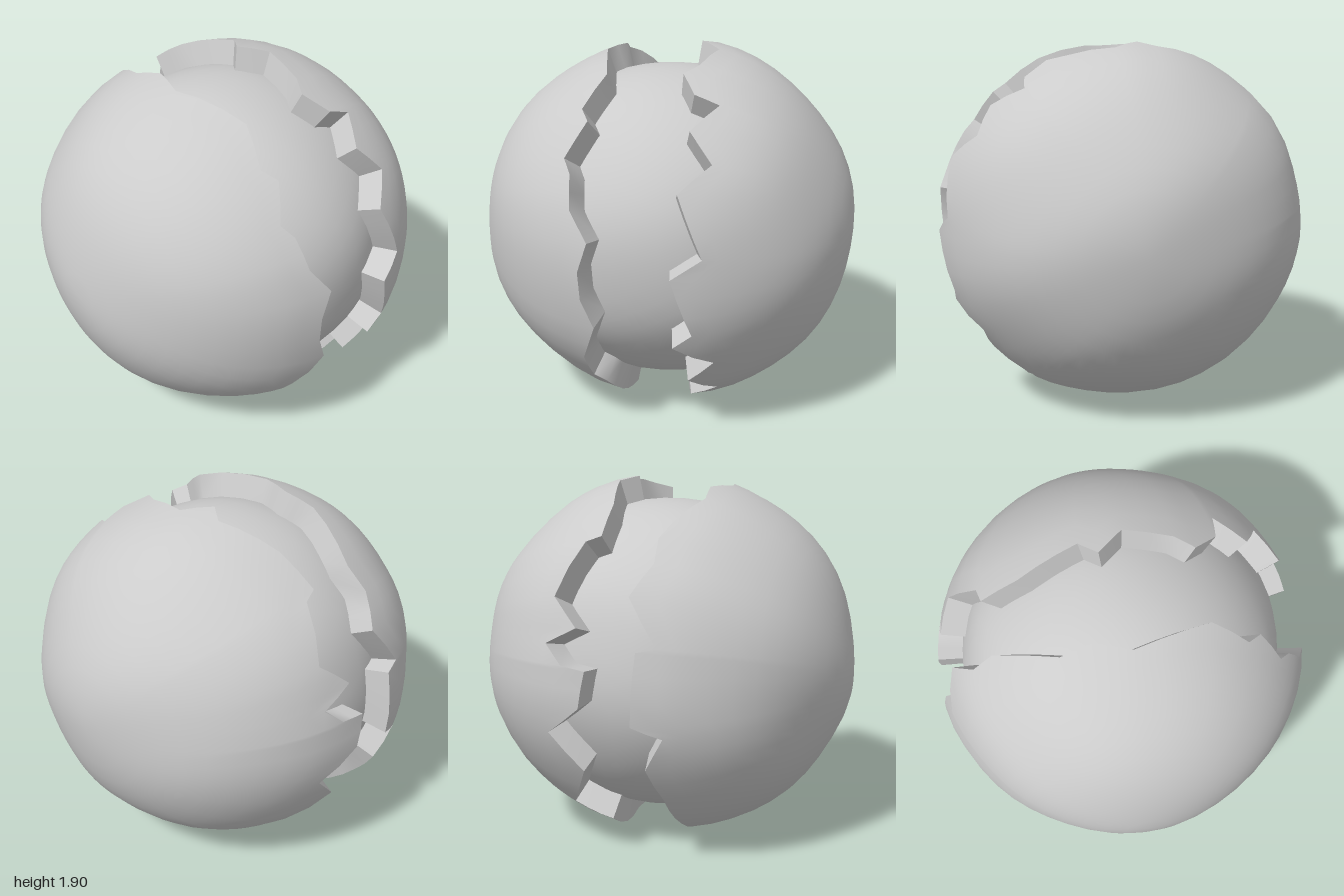
import * as THREE from 'three';
import { toCreasedNormals } from 'three/addons/utils/BufferGeometryUtils.js';

const CENTRE_Y = 0.955;
const RADII = new THREE.Vector3(1, 0.968, 0.995);
const CORE = 0.868;
const TURN = THREE.MathUtils.degToRad(20);

// Frame of the split: AXIS points across the crack, UP and FWD lie along it
const AXIS = new THREE.Vector3(Math.cos(TURN), 0, -Math.sin(TURN));
const UP = new THREE.Vector3(0, 1, 0);
const FWD = new THREE.Vector3(Math.sin(TURN), 0, Math.cos(TURN));

// Jagged edges: [angle in degrees from top over the front, offset across the crack]
const RIGHT_SHELL_EDGE = [
  [1, -0.33], [25, -0.23], [39, -0.307], [44, -0.26], [56, -0.346], [61, -0.303], [72, -0.28],
  [81, -0.186], [90, -0.236], [99, -0.23], [108, -0.17], [123, -0.257], [137, -0.256],
  [140, -0.197], [150, -0.148], [171, -0.15], [190, -0.22], [211, -0.246], [232, -0.25],
  [246, -0.21], [257, -0.31], [261, -0.17], [282.5, -0.19], [284, -0.283], [298, -0.127],
  [309, -0.205], [318, -0.187], [340, -0.3], [350, -0.272],
];
const LEFT_SHELL_EDGE = [
  [3, 0.26], [18, 0.21], [24, 0.15], [32.5, 0.228], [34.5, 0.35], [46, 0.24], [55.5, 0.357],
  [65.5, 0.22], [84, 0.346], [90, 0.205], [109, 0.294], [113.5, 0.2], [124, 0.377], [133, 0.24],
  [144, 0.355], [149, 0.216], [160, 0.177], [180, 0.2], [198, 0.14], [213, 0.116], [217, 0.32],
  [243, 0.115], [255, 0.28], [265, 0.086], [276, 0.053], [277, 0.184], [283, 0.28], [288, 0.116],
  [297, 0.257], [315, 0.17], [317, 0.097], [331, 0.12], [350, 0.218], [355.5, 0.15],
];

// Slightly lumpy ellipsoid surface along a unit direction
function surface(dir, scale) {
  const { x, y, z } = dir;
  const lump = 1 + 0.005 * (Math.sin(7 * x + 3 * y) * Math.sin(6 * z - 2 * x) + Math.sin(9 * y + 5 * z + 1) - 0.4);
  return dir.clone().multiply(RADII).multiplyScalar(scale * lump);
}

function direction(t, phi) {
  return new THREE.Vector3()
    .addScaledVector(AXIS, Math.cos(phi))
    .addScaledVector(UP, Math.sin(phi) * Math.cos(t))
    .addScaledVector(FWD, Math.sin(phi) * Math.sin(t));
}

// Split long edge segments so the rim follows the sphere
function refine(edge) {
  const out = [];
  edge.forEach(([t, s], i) => {
    const [t1, s1] = i + 1 < edge.length ? edge[i + 1] : [edge[0][0] + 360, edge[0][1]];
    const n = Math.ceil(Math.max((t1 - t) / 9, Math.abs(s1 - s) / 0.1));
    for (let k = 0; k < n; k++) out.push([t + (t1 - t) * k / n, s + (s1 - s) * k / n]);
  });
  return out;
}

// Half shell: a rim wall rising from the core, then rings closing towards the pole
function shellGeometry(edge, side) {
  const pts = refine(edge), n = pts.length, rings = 12;
  const pole = side > 0 ? 0 : Math.PI;
  const mean = Math.acos(side * 0.22);
  const pos = [], idx = [];
  for (let k = -1; k <= rings; k++) {
    const u = Math.max(k, 0) / rings;
    // The jagged offset fades out first, then the columns spread evenly
    const fade = Math.min(1, u * 2.5);
    const spread = THREE.MathUtils.smoothstep(u, 0.3, 0.9);
    pts.forEach(([deg, s], j) => {
      const even = pts[0][0] + 360 * j / n;
      const t = THREE.MathUtils.degToRad(THREE.MathUtils.lerp(deg, even, spread));
      const start = THREE.MathUtils.lerp(Math.acos(s / 0.975), mean, fade);
      const phi = THREE.MathUtils.lerp(start, pole, u);
      pos.push(...surface(direction(t, phi), k < 0 ? CORE - 0.02 : 1).toArray());
    });
  }
  const tri = (a, b, c) => (side > 0 ? idx.push(a, b, c) : idx.push(a, c, b));
  for (let k = 0; k <= rings; k++) {
    for (let j = 0; j < n; j++) {
      const j1 = (j + 1) % n, low = k * n, high = low + n;
      tri(low + j, low + j1, high + j);
      if (k < rings) tri(low + j1, high + j1, high + j);
    }
  }
  const g = new THREE.BufferGeometry();
  g.setAttribute('position', new THREE.Float32BufferAttribute(pos, 3));
  g.setIndex(idx);
  return g;
}

// Inner ball seen through the crack
function coreGeometry() {
  const g = new THREE.IcosahedronGeometry(1, 8);
  const p = g.attributes.position, v = new THREE.Vector3();
  for (let i = 0; i < p.count; i++) {
    v.fromBufferAttribute(p, i).normalize();
    p.setXYZ(i, ...surface(v, CORE).toArray());
  }
  return g;
}

export function createModel() {
  const group = new THREE.Group();
  const material = new THREE.MeshStandardMaterial({ color: 0xcccccc });
  const add = (name, geometry) => {
    const mesh = new THREE.Mesh(toCreasedNormals(geometry, 0.7), material);
    mesh.name = name;
    mesh.position.y = CENTRE_Y;
    group.add(mesh);
  };
  add('leftShell', shellGeometry(LEFT_SHELL_EDGE, 1));
  add('rightShell', shellGeometry(RIGHT_SHELL_EDGE, -1));
  add('core', coreGeometry());
  return group;
}
